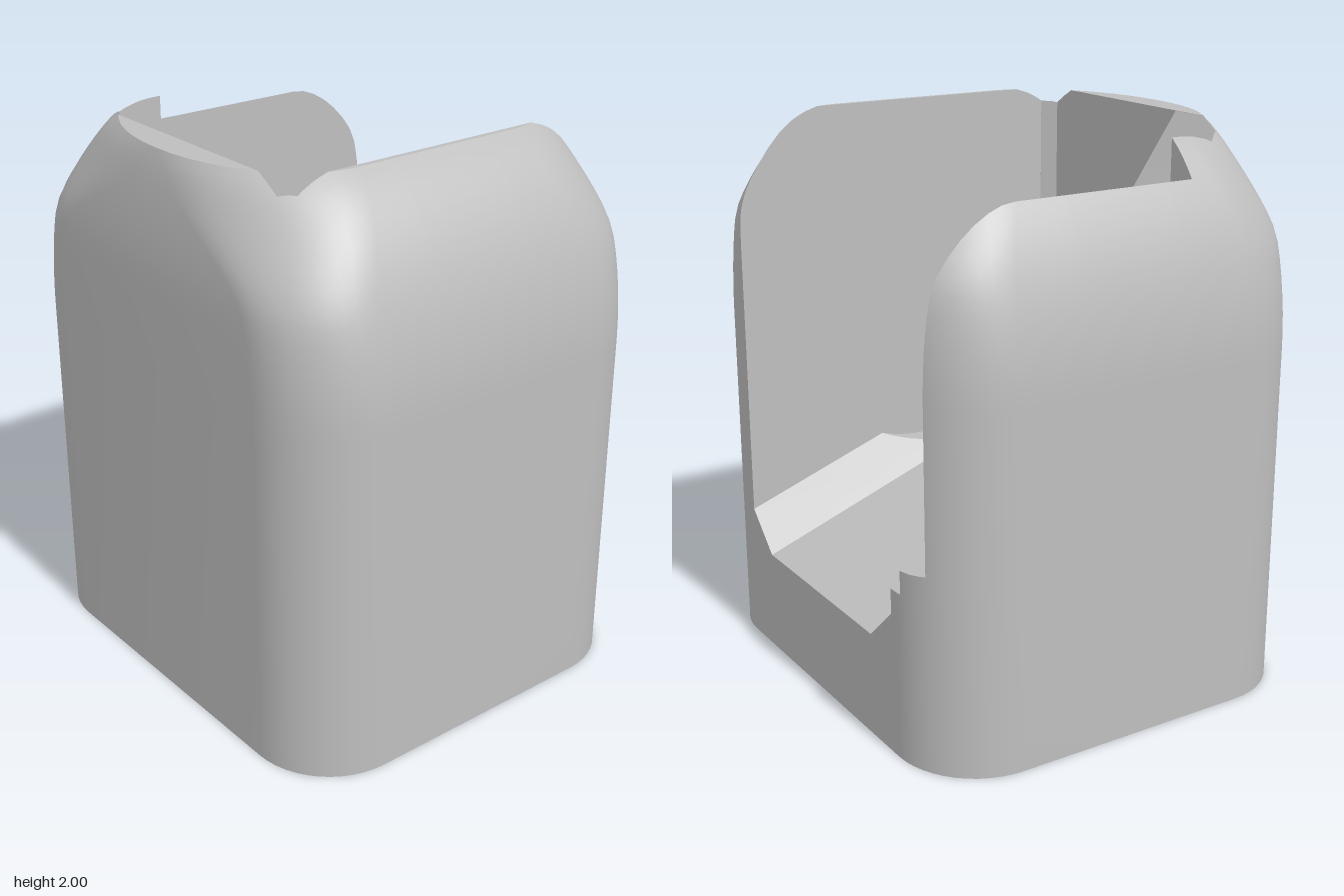
import * as THREE from 'three';
import { toCreasedNormals } from 'three/addons/utils/BufferGeometryUtils.js';

const EPS = 1e-5, SLOPE = 0.364; // SLOPE: fall of the floor towards the open side

// ---- solid cutting helpers: polygons, plane tree, clipping ----
function toPolygons(geometry) {
  const g = toCreasedNormals(geometry, 0.48), P = g.attributes.position, N = g.attributes.normal, out = [];
  for (let i = 0; i < P.count; i += 3) {
    const v = [0, 1, 2].map(k => ({
      p: new THREE.Vector3().fromBufferAttribute(P, i + k),
      n: new THREE.Vector3().fromBufferAttribute(N, i + k),
    }));
    const cross = v[1].p.clone().sub(v[0].p).cross(v[2].p.clone().sub(v[0].p));
    if (cross.length() < 1e-8) continue;
    out.push({ v, plane: new THREE.Plane().setFromNormalAndCoplanarPoint(cross.normalize(), v[0].p) });
  }
  return out;
}

function split(poly, plane) {
  const d = poly.v.map(a => plane.distanceToPoint(a.p));
  const hasFront = d.some(x => x > EPS), hasBack = d.some(x => x < -EPS);
  if (!hasFront && !hasBack) return poly.plane.normal.dot(plane.normal) > 0 ? [poly, null] : [null, poly];
  if (!hasBack) return [poly, null];
  if (!hasFront) return [null, poly];
  const f = [], b = [];
  poly.v.forEach((a, i) => {
    const j = (i + 1) % poly.v.length, c = poly.v[j];
    if (d[i] >= -EPS) f.push(a);
    if (d[i] <= EPS) b.push(a);
    if ((d[i] > EPS && d[j] < -EPS) || (d[i] < -EPS && d[j] > EPS)) {
      const t = d[i] / (d[i] - d[j]);
      const m = { p: a.p.clone().lerp(c.p, t), n: a.n.clone().lerp(c.n, t).normalize() };
      f.push(m);
      b.push(m);
    }
  });
  return [{ v: f, plane: poly.plane }, { v: b, plane: poly.plane }];
}

function buildTree(polys) {
  if (!polys.length) return null;
  const plane = polys[0].plane, front = [], back = [];
  for (const q of polys.slice(1)) {
    if (q.v.every(a => Math.abs(plane.distanceToPoint(a.p)) <= EPS)) continue;
    const [f, b] = split(q, plane);
    if (f) front.push(f);
    if (b) back.push(b);
  }
  return { plane, front: buildTree(front), back: buildTree(back) };
}

function clip(poly, node, inside) {
  const [f, b] = split(poly, node.plane), out = [];
  if (f) out.push(...(node.front ? clip(f, node.front, inside) : inside ? [] : [f]));
  if (b) out.push(...(node.back ? clip(b, node.back, inside) : inside ? [b] : []));
  return out;
}

function toGeometry(polys, flip) {
  const pos = [], nor = [], s = flip ? -1 : 1;
  for (const { v } of polys) for (let i = 1; i < v.length - 1; i++) {
    for (const a of flip ? [v[0], v[i + 1], v[i]] : [v[0], v[i], v[i + 1]]) {
      pos.push(a.p.x, a.p.y, a.p.z);
      nor.push(a.n.x * s, a.n.y * s, a.n.z * s);
    }
  }
  const g = new THREE.BufferGeometry();
  g.setAttribute('position', new THREE.Float32BufferAttribute(pos, 3));
  g.setAttribute('normal', new THREE.Float32BufferAttribute(nor, 3));
  return g;
}

// ---- shape helpers ----
const prism = (pts, depth) => new THREE.ExtrudeGeometry(
  new THREE.Shape(pts.map(p => new THREE.Vector2(p[0], p[1]))), { depth, bevelEnabled: false });
const alongZ = (pts, z0, z1) => prism(pts, z1 - z0).translate(0, 0, z0);
const alongY = (pts, y0, y1) =>
  prism(pts.map(([x, z]) => [x, -z]), y1 - y0).rotateX(-Math.PI / 2).translate(0, y0, 0);
function moveY(g, rule) {
  const p = g.attributes.position;
  for (let i = 0; i < p.count; i++) p.setY(i, rule(p.getX(i), p.getY(i)));
  return g;
}
const slopedAlongX = (pts, x0, x1) => moveY(
  prism(pts.map(([z, y]) => [-z, y]), x1 - x0).rotateY(Math.PI / 2).translate(x0, 0, 0),
  (x, y) => y + SLOPE * (0.75 - x));
const smooth = (pts, n) => new THREE.SplineCurve(pts.map(p => new THREE.Vector2(...p)))
  .getPoints(n).map(p => [p.x, p.y]);

// Rounded block whose corners broaden as the top domes over
function outerBlock() {
  const K = 12, levels = [0], pos = [], index = [];
  const top = Math.asin(0.75 / 0.8);
  for (let i = 0; i <= 16; i++) levels.push(1.25 + 0.8 * Math.sin(top * i / 16));
  const inset = (y, y0, b, a) => a * (1 - Math.sqrt(1 - Math.max(0, (y - y0) / b) ** 2));
  for (const y of levels) {
    const hx = 0.75 - inset(y, 1.55, 0.5, 0.09), hz = 0.865 - inset(y, 1.25, 0.8, 0.475);
    const rx = 0.3 + 0.07 * THREE.MathUtils.smoothstep(y, 1.6, 2);
    const rz = Math.min(hz - 0.01, 0.3 + 0.25 * THREE.MathUtils.smoothstep(y, 1.6, 1.92));
    for (let c = 0; c < 4; c++) for (let k = 0; k <= K; k++) {
      const a = (c + k / K) * Math.PI / 2;
      const sx = c === 0 || c === 3 ? 1 : -1, sz = c < 2 ? 1 : -1;
      pos.push(sx * (hx - rx) + rx * Math.cos(a), y, sz * (hz - rz) + rz * Math.sin(a));
    }
  }
  const n = 4 * (K + 1), last = (levels.length - 1) * n;
  for (let r = 0; r < levels.length - 1; r++) for (let i = 0; i < n; i++) {
    const a = r * n + i, b = r * n + (i + 1) % n;
    index.push(a, a + n, b, b, a + n, b + n);
  }
  for (let i = 1; i < n - 1; i++) index.push(0, i, i + 1, last, last + i + 1, last + i);
  const g = new THREE.BufferGeometry();
  g.setAttribute('position', new THREE.Float32BufferAttribute(pos, 3));
  g.setIndex(index);
  return g.toNonIndexed();
}

// Hollows removed from the block
function hollows() {
  // round-bottomed main chamber, open to one side
  const chamber = [[-0.545, 2.5]];
  for (let i = 0; i <= 28; i++) {
    const a = THREE.MathUtils.degToRad(157.7 + (288 - 157.7) * i / 28);
    chamber.push([0.01 + 0.6 * Math.cos(a), 1.28 + 0.6 * Math.sin(a)]);
  }
  chamber.push([1.2, 0.348], [1.2, 2.5]);

  // wavy shelf, and a second narrower one behind it
  const shelf = [[-0.47, 2.5], [-0.47, 1.83], ...smooth([[-0.3, 1.59], [-0.22, 1.51], [-0.12, 1.487],
    [-0.02, 1.51], [0.1, 1.48], [0.19, 1.4], [0.235, 1.29], [0.238, 1.19], [0.22, 1.09], [0.202, 1.0],
    [0.2, 0.93], [0.22, 0.85], [0.28, 0.78], [0.36, 0.742]], 52), [1.2, 0.436], [1.2, 2.5]];
  const rail = [[-0.3, 2.5], ...smooth([[-0.3, 1.775], [-0.22, 1.67], [-0.12, 1.61], [-0.02, 1.605],
    [0.1, 1.59], [0.24, 1.5], [0.33, 1.37], [0.358, 1.24], [0.34, 1.11], [0.322, 1.02], [0.325, 0.92],
    [0.36, 0.825]], 44), [1.2, 0.521], [1.2, 2.5]];

  return {
    mainChamber: alongZ(chamber, -0.245, 0.535),
    chamberSideWall: alongY([[-0.59, -0.245], [-0.59, 0.49], [-0.545, 0.535], [-0.3, 0.535], [-0.3, -0.245]], 1.28, 2.5),
    wavyShelf: alongZ(shelf, -0.59, 0),
    // sloped start of the shelf with its bevelled corner
    shelfCorner: moveY(
      alongY([[-0.59, -0.1], [-0.59, -0.47], [-0.47, -0.59], [-0.4, -0.59], [-0.4, -0.1]], 1.5, 2.5),
      (x, y) => y < 2 ? 1.83 - 1.41 * (x + 0.47) : y),
    backRail: alongZ(rail, -0.7, -0.3),
    // sloping floor with bevelled long edges
    slopedFloor: slopedAlongX([[0.535, 0.7], [0.535, 0.51], [0.39, 0.375], [-0.385, 0.375], [-0.53, 0.51], [-0.53, 0.7]], 0.2, 1.2),
    innerFloor: slopedAlongX([[0.535, 0.7], [0.535, 0.51], [0.39, 0.375], [-0.245, 0.375], [-0.245, 0.7]], -0.2, 0.25),
  };
}

export function createModel() {
  const model = new THREE.Group();
  model.name = 'holder';
  const grey = new THREE.MeshStandardMaterial({ color: 0xbebebe });
  grey.name = 'light grey';
  const add = (name, polys, flip) => {
    const mesh = new THREE.Mesh(toGeometry(polys, flip), grey);
    mesh.name = name;
    model.add(mesh);
  };

  const block = toPolygons(outerBlock()), blockTree = buildTree(block);
  const cuts = Object.entries(hollows()).map(([name, g]) => {
    const polys = toPolygons(g);
    return { name, polys, tree: buildTree(polys) };
  });
  const outside = (polys, list) => list.reduce((r, c) => r.flatMap(p => clip(p, c.tree, false)), polys);

  add('outerBody', outside(block, cuts), false);
  for (const c of cuts) {
    const kept = c.polys.flatMap(p => clip(p, blockTree, true));
    add(c.name, outside(kept, cuts.filter(o => o !== c)), true);
  }
  return model;
}
